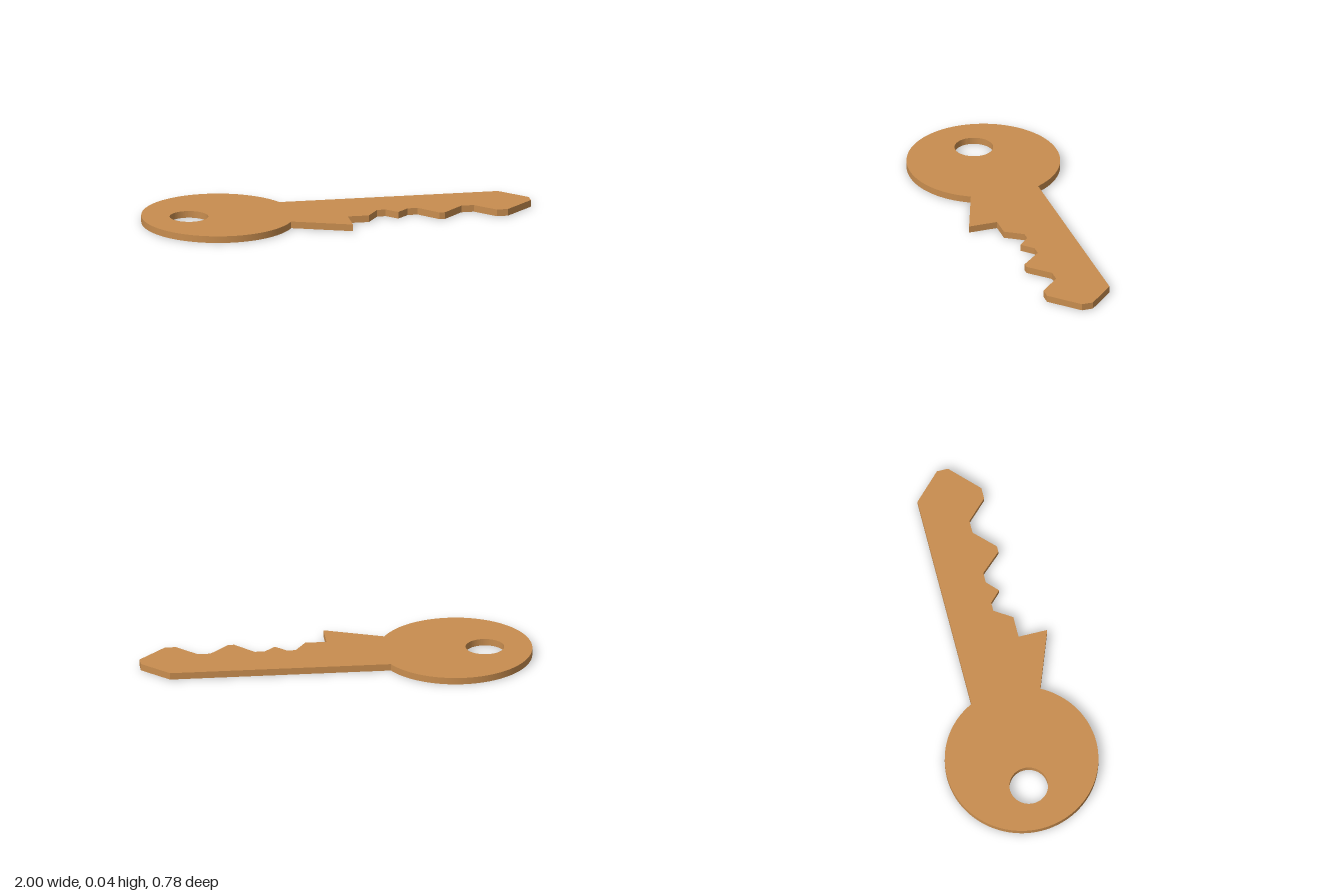
import * as THREE from 'three';
import { toCreasedNormals } from 'three/addons/utils/BufferGeometryUtils.js';

const THICKNESS = 0.035;
const BOW = { x: -0.61, radius: 0.39 };
const HOLE = { x: -0.76, radius: 0.098 };

// Blade outline as [x, z]: straight back, pointed tip, teeth, then shoulder
const BLADE = [
  [0.865, -0.175], [1, -0.04], [1, 0.018], [0.857, 0.157],
  [0.8, 0.157], [0.7, 0.055], [0.635, 0.055],
  [0.533, 0.157], [0.503, 0.157], [0.41, 0.055], [0.358, 0.055],
  [0.3, 0.11], [0.245, 0.055], [0.2, 0.055],
  [0.142, 0.145], [0.033, 0.145], [0.033, 0.295],
];

export function createModel() {
  const group = new THREE.Group();
  group.name = 'key';

  // Round bow and blade share one flat outline
  const backAngle = Math.asin(0.175 / BOW.radius);
  const shoulderAngle = Math.asin(0.184 / BOW.radius);
  const outline = new THREE.Shape();
  outline.moveTo(BOW.x + BOW.radius * Math.cos(backAngle), -0.175);
  BLADE.forEach(([x, z]) => outline.lineTo(x, z));
  outline.absarc(BOW.x, 0, BOW.radius, shoulderAngle, Math.PI * 2 - backAngle, false);

  // Ring hole through the bow
  const hole = new THREE.Path();
  hole.absarc(HOLE.x, 0, HOLE.radius, 0, Math.PI * 2, true);
  outline.holes.push(hole);

  // Lay the plate flat, resting on the ground
  const plate = new THREE.ExtrudeGeometry(outline, {
    depth: THICKNESS, bevelEnabled: false, curveSegments: 64,
  });
  plate.rotateX(Math.PI / 2).translate(0, THICKNESS, 0);

  const key = new THREE.Mesh(
    toCreasedNormals(plate, 0.35),
    new THREE.MeshStandardMaterial({ color: 0xc88d4f }),
  );
  key.name = 'keyPlate';
  group.add(key);
  return group;
}
